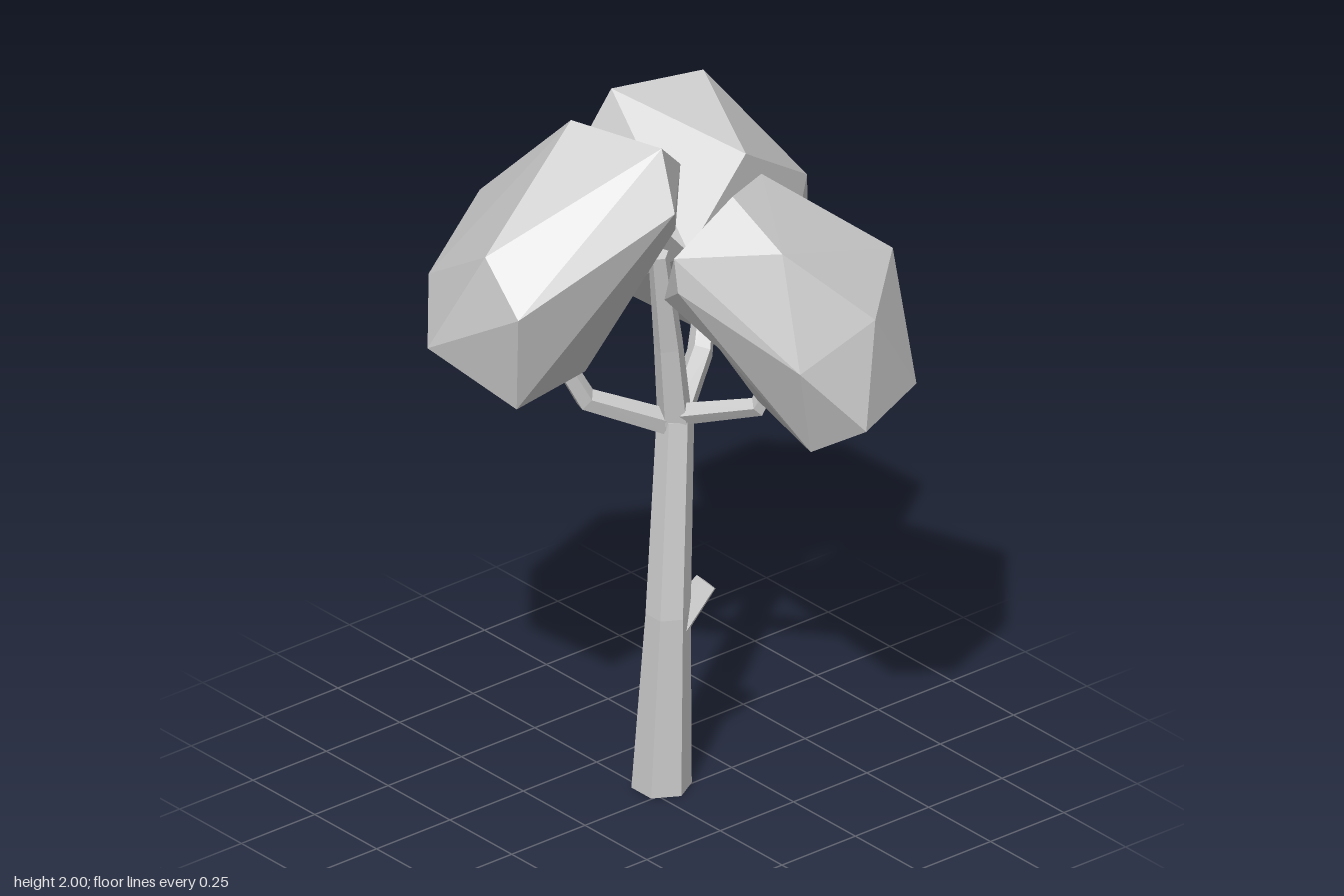
import * as THREE from 'three';
import { ConvexGeometry } from 'three/addons/geometries/ConvexGeometry.js';

const UP = new THREE.Vector3(0, 1, 0);
const material = new THREE.MeshStandardMaterial({ color: 0xcccccc, flatShading: true });

function addMesh(group, name, geometry) {
  const mesh = new THREE.Mesh(geometry, material);
  mesh.name = name;
  group.add(mesh);
}

// Tapered limb: nodes are [x, y, z, radius]; rings face along the limb, or stay level
function limbGeometry(nodes, sides, level = false) {
  const pts = nodes.map(n => new THREE.Vector3(n[0], n[1], n[2]));
  const last = pts.length - 1;
  const pos = [], index = [];
  pts.forEach((p, j) => {
    const dir = pts[Math.min(j + 1, last)].clone().sub(pts[Math.max(j - 1, 0)]).normalize();
    const q = new THREE.Quaternion().setFromUnitVectors(UP, level ? UP : dir);
    for (let i = 0; i < sides; i++) {
      const a = (i / sides) * Math.PI * 2;
      const r = nodes[j][3];
      const v = new THREE.Vector3(Math.cos(a) * r, 0, Math.sin(a) * r).applyQuaternion(q).add(p);
      pos.push(v.x, v.y, v.z);
    }
  });
  const bottom = pos.length / 3, top = bottom + 1;
  pos.push(...pts[0].toArray(), ...pts[last].toArray());
  for (let i = 0; i < sides; i++) {
    const k = (i + 1) % sides;
    for (let j = 0; j < last; j++) {
      const a = j * sides + i, b = j * sides + k;
      index.push(a, a + sides, b, b, a + sides, b + sides);
    }
    index.push(bottom, i, k, top, last * sides + k, last * sides + i);
  }
  const g = new THREE.BufferGeometry();
  g.setAttribute('position', new THREE.Float32BufferAttribute(pos, 3));
  g.setIndex(index);
  g.computeVertexNormals();
  return g;
}

// Faceted crown: the hull of a few corner points
function crownGeometry(corners) {
  return new ConvexGeometry(corners.map(c => new THREE.Vector3(...c)));
}

export function createModel() {
  const tree = new THREE.Group();
  tree.name = 'tree';

  // Bent six-sided trunk
  addMesh(tree, 'trunk', limbGeometry([
    [-0.043, 0, -0.047, 0.08], [-0.02, 0.52, -0.05, 0.06], [-0.05, 1.07, -0.1, 0.05],
  ], 6, true));

  // Branches from the fork and a short stub lower down
  const branches = {
    centreBranch: [[-0.05, 1.04, -0.1, 0.048], [-0.03, 1.3, -0.06, 0.04], [0, 1.6, 0, 0.028]],
    frontBranch: [[-0.05, 1.05, -0.09, 0.036], [-0.14, 1.16, 0.13, 0.032], [-0.17, 1.32, 0.21, 0.027]],
    leftBranch: [[-0.04, 1.08, -0.1, 0.032], [0.18, 1.16, -0.19, 0.028], [0.22, 1.3, -0.23, 0.024]],
    backBranch: [[-0.05, 1.05, -0.1, 0.04], [-0.15, 1.16, -0.27, 0.036], [-0.22, 1.28, -0.35, 0.03]],
    stub: [[-0.02, 0.46, -0.06, 0.045], [0, 0.575, -0.165, 0.033]],
  };
  for (const [name, nodes] of Object.entries(branches)) {
    addMesh(tree, name, limbGeometry(nodes, 5));
  }

  // Leaf crowns
  addMesh(tree, 'frontCrown', crownGeometry([
    [-0.14, 2, 0.18], [0.12, 1.99, 0.09], [0.205, 1.84, 0.117], [0, 1.84, -0.075],
    [-0.19, 1.83, -0.04], [-0.06, 1.75, 0.54], [0.08, 1.62, 0.545], [-0.444, 1.69, 0.235],
    [-0.36, 1.56, 0.48], [-0.21, 1.445, 0.61], [-0.487, 1.375, 0.36], [0.02, 1.32, 0.5],
    [-0.23, 1.18, 0.29], [-0.1, 1.27, 0.165], [-0.33, 1.4, 0.14], [0.14, 1.75, 0.06],
  ]));
  addMesh(tree, 'backCrown', crownGeometry([
    [-0.25, 1.97, -0.05], [-0.205, 1.95, -0.326], [0.052, 1.83, -0.254], [-0.525, 1.635, -0.378],
    [-0.58, 1.52, -0.23], [-0.45, 1.6, -0.47], [-0.48, 1.31, -0.495], [-0.313, 1.48, -0.596],
    [-0.075, 1.61, -0.57], [0, 1.51, -0.47], [-0.124, 1.275, -0.616], [-0.46, 1.225, -0.25],
    [-0.19, 1.13, -0.39], [-0.29, 1.8, 0.03], [0.045, 1.6, -0.065],
  ]));
  addMesh(tree, 'leftCrown', crownGeometry([
    [0.205, 1.825, -0.08], [0.12, 1.8, -0.25], [0.397, 1.73, -0.088], [0.345, 1.585, -0.508],
    [0.537, 1.525, -0.287], [0.508, 1.43, -0.055], [0.58, 1.235, -0.22], [0.479, 1.25, -0.476],
    [0.287, 1.42, -0.524], [0.137, 1.6, -0.404], [0.17, 1.685, 0.09], [0.186, 1.59, 0.09],
    [0.243, 1.415, -0.005], [0.45, 1.15, -0.14], [0.243, 1.11, -0.33], [0.21, 1.2, -0.16],
  ]));
  // Inner lobe that leans over the fork, leaving a hollow below it
  addMesh(tree, 'leftCrownInnerLobe', crownGeometry([
    [0.035, 1.52, -0.07], [0.06, 1.5, 0.03], [0.035, 1.53, -0.29], [0.12, 1.8, -0.25],
    [0.205, 1.825, -0.08], [0.137, 1.6, -0.404], [0.17, 1.685, 0.09], [0.186, 1.59, 0.09],
    [0.243, 1.415, -0.005], [0.15, 1.38, -0.25],
  ]));

  return tree;
}
